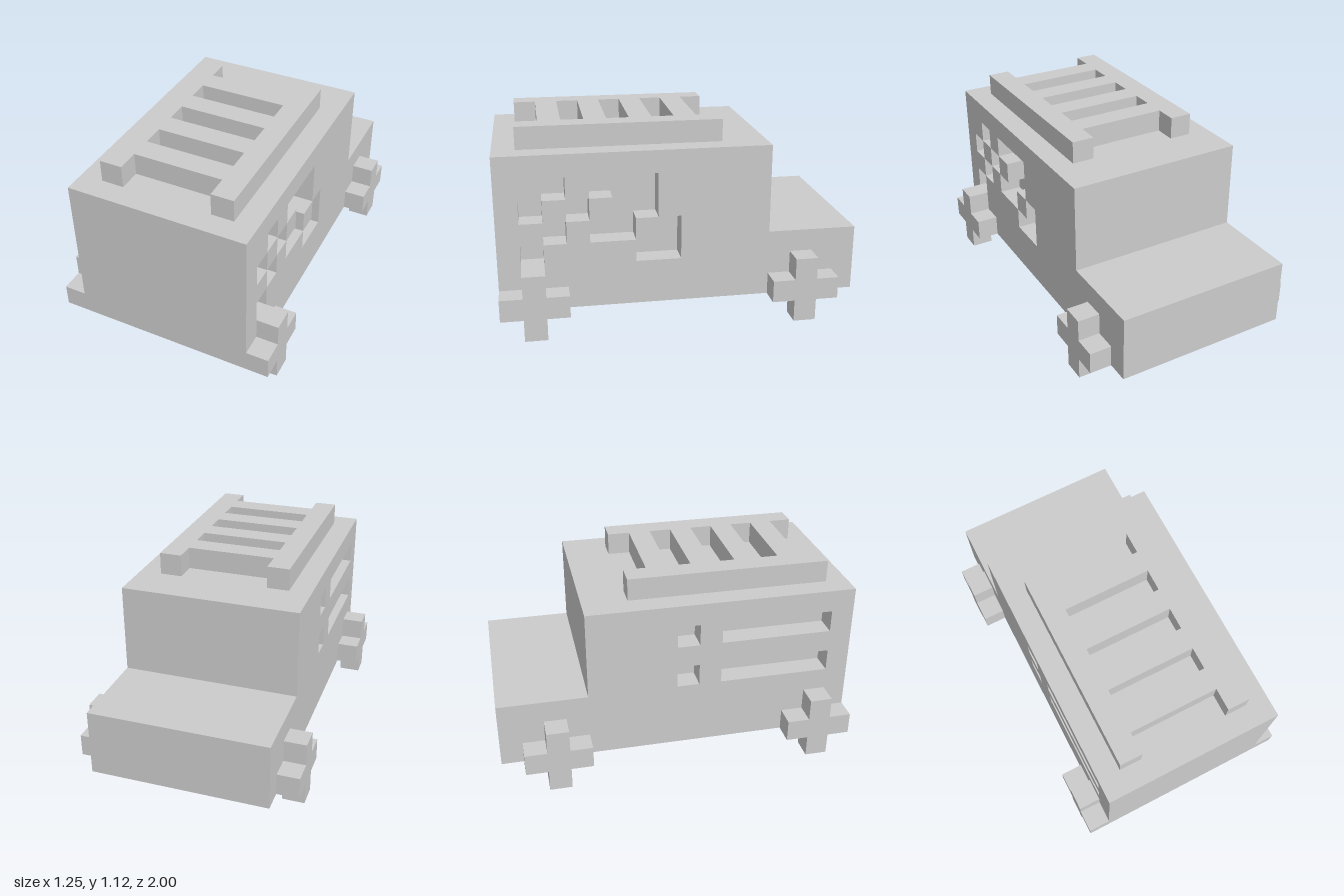
import * as THREE from 'three';

const U = 0.125; // one block
const material = new THREE.MeshStandardMaterial({ color: 0xcccccc, flatShading: true });

const rect = (a0, b0, a1, b1) => [[a0, b0], [a1, b0], [a1, b1], [a0, b1]];

// Shrinks a cut-out by a hair so that neighbours meeting at a corner stay separate.
function shrink(points) {
  const box = new THREE.Box2().setFromPoints(points.map(([a, b]) => new THREE.Vector2(a, b)));
  const c = box.getCenter(new THREE.Vector2());
  return points.map(([a, b]) => [c.x + (a - c.x) * 0.998, c.y + (b - c.y) * 0.998]);
}

// Scales block points to units and orders them counter-clockwise.
function toLoop(points, sx, sy) {
  const loop = points.map(([a, b]) => new THREE.Vector2(a * sx, b * sy));
  return THREE.ShapeUtils.isClockWise(loop) ? loop.reverse() : loop;
}

function extrude(outline, holes, sx, sy, depth) {
  const shape = new THREE.Shape(toLoop(outline, sx, sy));
  for (const hole of holes) shape.holes.push(new THREE.Path(toLoop(shrink(hole), sx, sy)));
  return new THREE.ExtrudeGeometry(shape, { depth, bevelEnabled: false });
}

function namedMesh(name, geometry) {
  const mesh = new THREE.Mesh(geometry, material);
  mesh.name = name;
  return mesh;
}

// Extrudes a (z, y) outline in blocks along x, from x0 to x1.
function sideSlab(name, outline, x0, x1, holes = []) {
  const geometry = extrude(outline, holes, -U, U, (x1 - x0) * U);
  geometry.rotateY(Math.PI / 2).translate(x0 * U, 0, 0);
  return namedMesh(name, geometry);
}

export function createModel() {
  const model = new THREE.Group();
  model.name = 'boxyVan';

  // Body: core with low hood at the back, plus a pierced panel on each side
  const profile = [[8, 1], [8, 8], [-4, 8], [-4, 4], [-8, 4], [-8, 1]];
  const leftCutouts = [
    // flower: four petals and a stem
    rect(5, 6, 6, 7), rect(6, 5, 7, 6), rect(4, 5, 5, 6), rect(5, 4, 6, 5), rect(6, 3, 7, 4),
    // large and small interlocking recesses
    [[1, 5], [1, 7], [4, 7], [4, 6], [3, 6], [3, 5], [4, 5], [4, 4], [2, 4], [2, 5]],
    [[0, 3], [0, 5], [1, 5], [1, 4], [2, 4], [2, 3]],
  ];
  const rightCutouts = [4, 6].flatMap((y) => [rect(0, y, 1, y + 1), rect(2, y, 7, y + 1)]);
  model.add(
    sideSlab('bodyCore', profile, -3, 3),
    sideSlab('leftPanel', profile, 3, 4, leftCutouts),
    sideSlab('rightPanel', profile, -4, -3, rightCutouts),
  );

  // Wheels: plus-shaped blocks
  const plus = [[-0.5, -1.5], [0.5, -1.5], [0.5, -0.5], [1.5, -0.5], [1.5, 0.5], [0.5, 0.5],
    [0.5, 1.5], [-0.5, 1.5], [-0.5, 0.5], [-1.5, 0.5], [-1.5, -0.5], [-0.5, -0.5]];
  for (const [end, z] of [['front', 6.5], ['back', -5.5]]) {
    const outline = plus.map(([a, b]) => [a + z, b + 1.5]);
    model.add(
      sideSlab(end + 'LeftWheel', outline, 4, 5),
      sideSlab(end + 'RightWheel', outline, -5, -4),
    );
  }

  // Roof rack: ladder with open ends and three slots, laid flat on the roof
  const ladder = [[-3, -2], [-2, -2], [-2, -1], [2, -1], [2, -2], [3, -2],
    [3, 7], [2, 7], [2, 6], [-2, 6], [-2, 7], [-3, 7]];
  const slots = [0, 2, 4].map((z) => rect(-2, z, 2, z + 1));
  const rack = extrude(ladder, slots, U, -U, U);
  rack.rotateX(-Math.PI / 2).translate(0, 8 * U, 0);
  model.add(namedMesh('roofRack', rack));

  return model;
}
